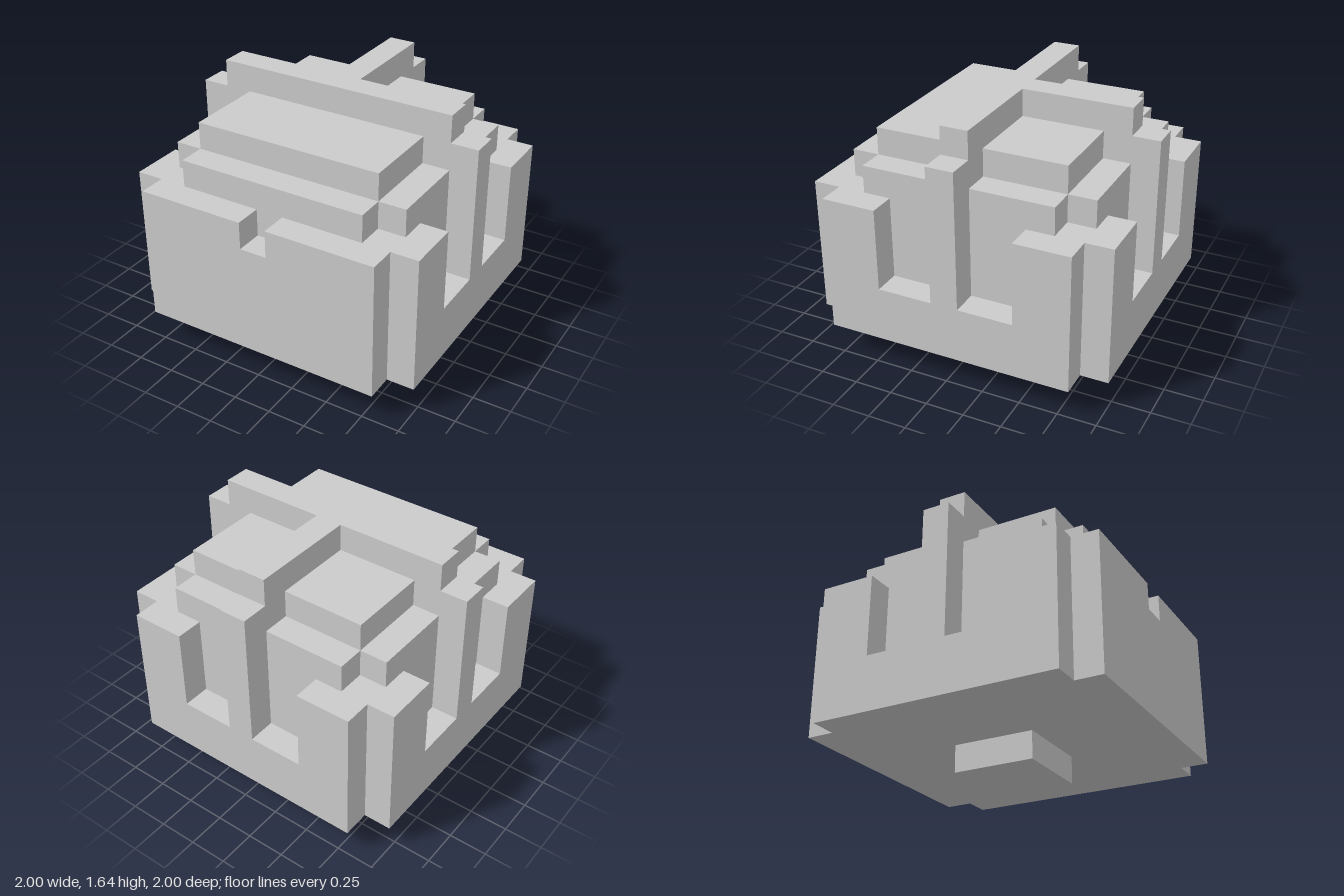
import * as THREE from 'three';

const U = 2 / 11; // edge of one block

export function createModel() {
  const model = new THREE.Group();
  const material = new THREE.MeshStandardMaterial({ color: 0xcccccc, flatShading: true });

  // Box given by its ranges in blocks
  function block(name, [x0, x1], [y0, y1], [z0, z1]) {
    const mesh = new THREE.Mesh(
      new THREE.BoxGeometry((x1 - x0) * U, (y1 - y0) * U, (z1 - z0) * U), material);
    mesh.position.set((x0 + x1) / 2 * U, (y0 + y1) / 2 * U, (z0 + z1) / 2 * U);
    mesh.name = name;
    model.add(mesh);
  }

  // Square slab with a one-block notch cut from every corner
  function notchedSlab(name, half, y0, y1) {
    const a = half * U, b = (half - 1) * U;
    const points = [[a, -b], [a, b], [b, b], [b, a], [-b, a], [-b, b],
      [-a, b], [-a, -b], [-b, -b], [-b, -a], [b, -a], [b, -b]];
    const shape = new THREE.Shape(points.map(([x, y]) => new THREE.Vector2(x, y)));
    const geometry = new THREE.ExtrudeGeometry(shape, { depth: (y1 - y0) * U, bevelEnabled: false });
    geometry.rotateX(-Math.PI / 2);
    const mesh = new THREE.Mesh(geometry, material);
    mesh.position.y = y0 * U;
    mesh.name = name;
    model.add(mesh);
  }

  // Foot, body and stepped roof
  block('foot', [-1.5, 1.5], [0, 1], [-1.5, 1.5]);
  notchedSlab('base', 5.5, 1, 3);
  block('core', [-4.5, 4.5], [3, 6], [-4.5, 4.5]);
  notchedSlab('lowerRoof', 4.5, 6, 7);
  block('upperRoof', [-3.5, 3.5], [7, 8], [-3.5, 3.5]);

  // Front wall with a small notch in the middle of its top edge
  block('frontWall', [-4.5, 4.5], [3, 5], [4.5, 5.5]);

  for (const s of [-1, 1]) {
    const span = (a, b) => (s > 0 ? [a, b] : [-b, -a]);
    const side = s > 0 ? 'left' : 'right';
    block(side + 'FrontWallTop', span(0.5, 4.5), [5, 6], [4.5, 5.5]);
    // Corner posts and ribs, leaving channels between them
    block(side + 'FrontPost', span(4.5, 5.5), [3, 6], [2.5, 4.5]);
    block(side + 'RearPost', span(4.5, 5.5), [3, 6], [-4.5, -2.5]);
    block(side + 'BackPost', span(2.5, 4.5), [3, 6], [-5.5, -4.5]);
    block(side + 'Rib', span(4.5, 5.5), [3, 8], [-0.5, 0.5]);
  }
  block('backRib', [-0.5, 0.5], [3, 8], [-5.5, -4.5]);

  // T-shaped ridge across the roof
  block('crossRidge', [-4.5, 4.5], [6, 9], [-0.5, 0.5]);
  block('backRidge', [-0.5, 0.5], [6, 9], [-4.5, -0.5]);

  return model;
}
